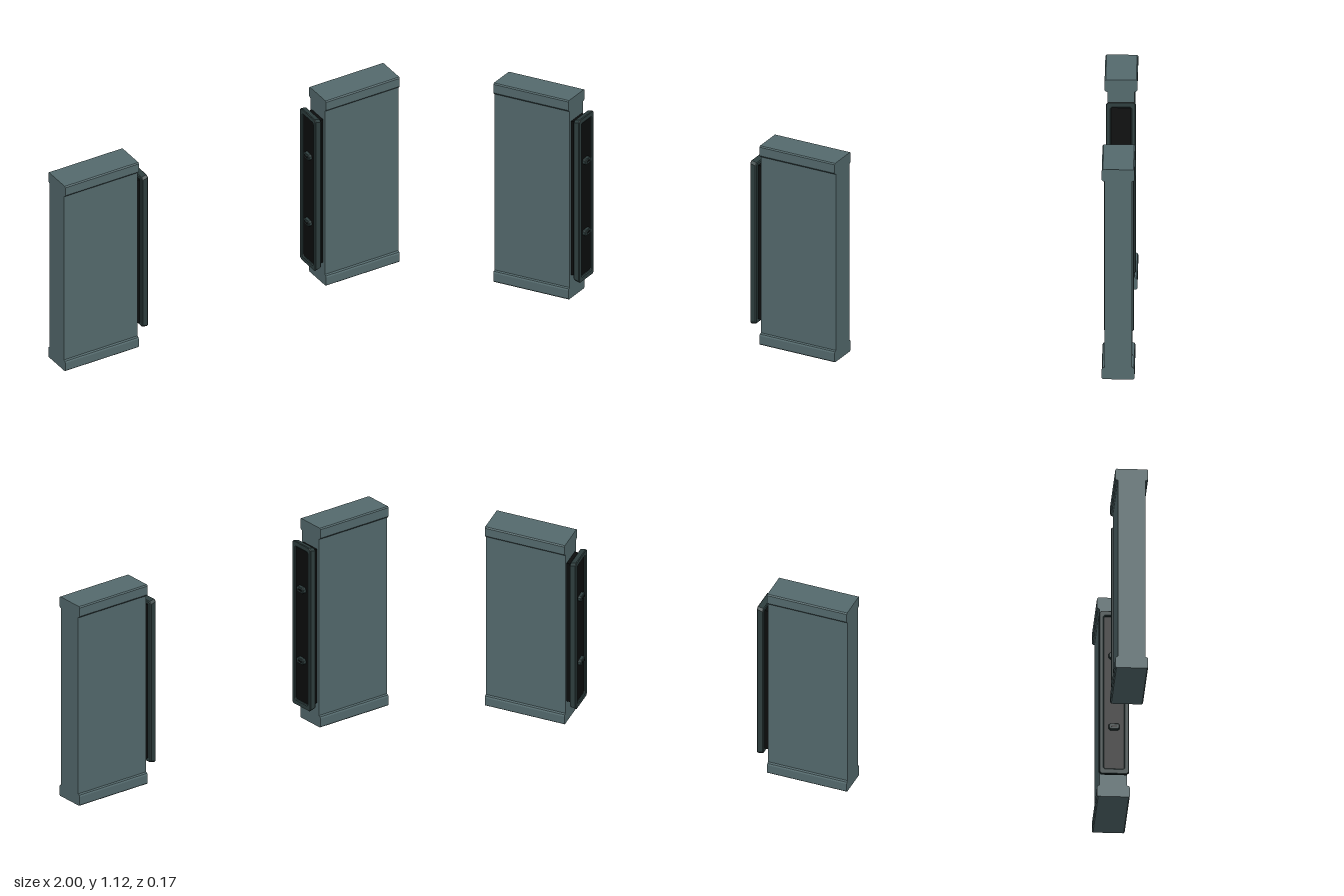
import * as THREE from 'three';

const wallMat = new THREE.MeshStandardMaterial({ name: 'slate wall', color: 0x546a6d });
const frameMat = new THREE.MeshStandardMaterial({ name: 'dark frame', color: 0x2e3e3e });
const blackMat = new THREE.MeshStandardMaterial({ name: 'black core', color: 0x0b0d0d });

function add(parent, name, geometry, material) {
  const mesh = new THREE.Mesh(geometry, material);
  mesh.name = name;
  parent.add(mesh);
  return mesh;
}

// Rectangle with cut corners, centred on the origin
function cutRect(w, h, c, Type = THREE.Shape) {
  const p = [[w - c, -h], [w, -h + c], [w, h - c], [w - c, h], [-w + c, h], [-w, h - c], [-w, -h + c], [-w + c, -h]];
  return new Type(p.map(([x, y]) => new THREE.Vector2(x, y)));
}

// Extrude a (z, y) outline along +x
function extrudeX(shape, depth, bevel = 0) {
  return new THREE.ExtrudeGeometry(shape, {
    depth: depth - 2 * bevel, bevelEnabled: bevel > 0, bevelSize: bevel,
    bevelThickness: bevel, bevelOffset: -bevel, bevelSegments: 1,
  }).translate(0, 0, bevel).rotateY(Math.PI / 2);
}

function createHalf(name) {
  const half = new THREE.Group();
  half.name = name;

  // Wall slab with a wider foot and cap in one profile
  const side = [
    [0.078, 0], [0.084, 0.006], [0.084, 0.052], [0.08, 0.06], [0.07, 0.064],
    [0.07, 1.056], [0.078, 1.058], [0.084, 1.066], [0.084, 1.114], [0.078, 1.12],
  ];
  const outline = [...side, ...side.map(([z, y]) => [-z, y]).reverse()];
  const wallShape = new THREE.Shape(outline.map(([z, y]) => new THREE.Vector2(z, y)));
  add(half, 'wall', extrudeX(wallShape, 0.44).translate(0.56, 0, 0), wallMat);

  // Black neck behind the frame, its end visible as the recessed panel
  add(half, 'neck', new THREE.BoxGeometry(0.058, 0.865, 0.11), blackMat).position.set(0.537, 0.5625, 0);

  // Frame, slightly shorter towards the wall
  const ring = cutRect(0.077, 0.46, 0.012);
  ring.holes.push(cutRect(0.052, 0.43, 0.006, THREE.Path));
  const frameGeo = extrudeX(ring, 0.035, 0.004);
  const pos = frameGeo.attributes.position;
  for (let i = 0; i < pos.count; i++) {
    pos.setY(i, pos.getY(i) * (1 - 0.02 * pos.getX(i) / 0.035));
  }
  frameGeo.computeVertexNormals();
  add(half, 'frame', frameGeo, frameMat).position.set(0.5, 0.56, 0);

  // Two latch studs, each with a dark slot
  for (const y of [0.365, 0.765]) {
    add(half, 'latchStud', extrudeX(cutRect(0.028, 0.016, 0.008), 0.022, 0.003), frameMat).position.set(0.49, y, 0);
    add(half, 'latchSlot', new THREE.BoxGeometry(0.002, 0.01, 0.03), blackMat).position.set(0.4895, y, 0);
  }
  return half;
}

export function createModel() {
  const model = new THREE.Group();
  model.name = 'gateway';
  const right = createHalf('rightHalf');
  right.rotation.y = Math.PI;
  model.add(createHalf('leftHalf'), right);
  return model;
}
